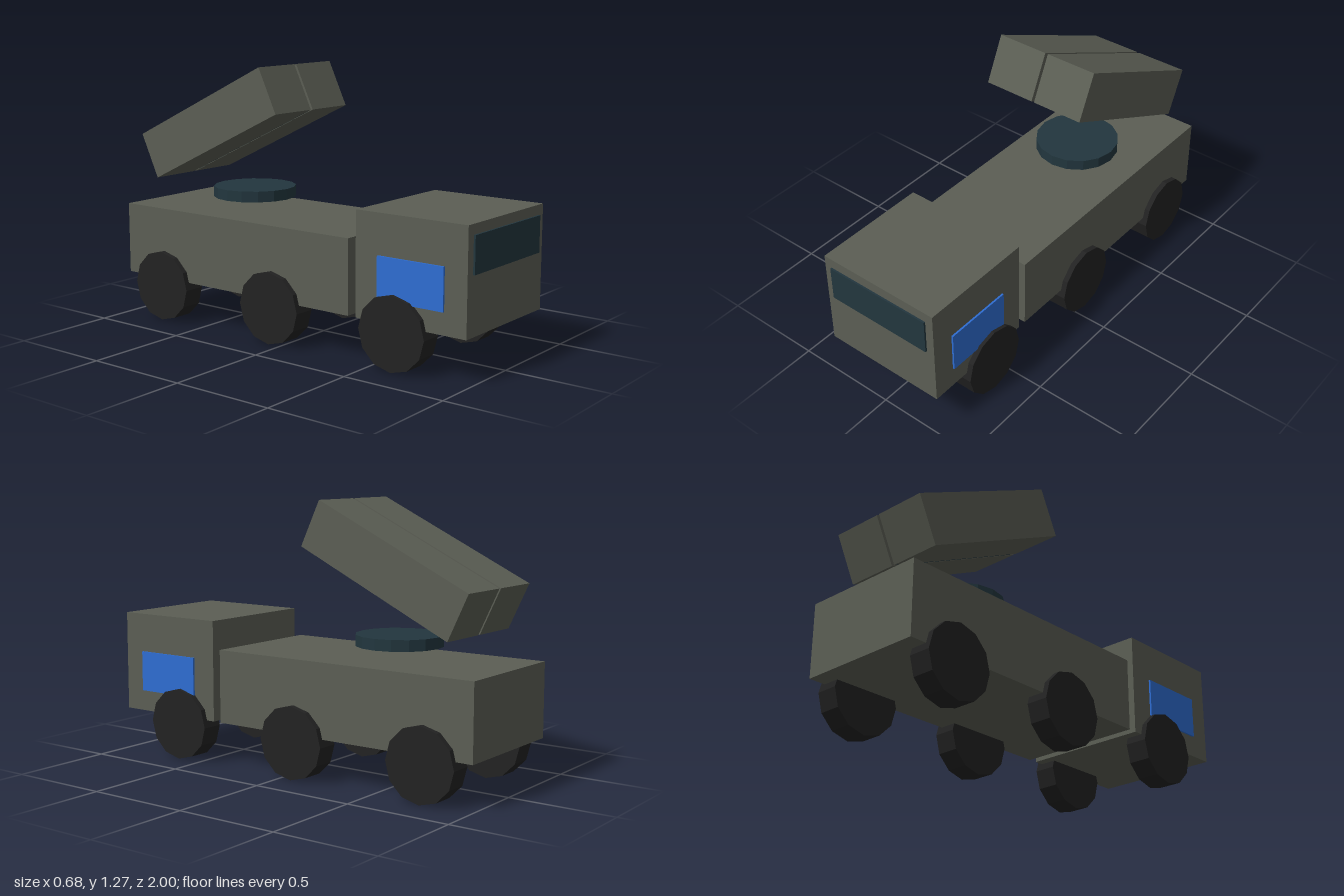
import * as THREE from 'three';

const mat = (name, color) => {
  const m = new THREE.MeshStandardMaterial({ color });
  m.name = name;
  m.flatShading = true;
  return m;
};

export function createModel() {
  const model = new THREE.Group();
  model.name = 'launcherTruck';
  const olive = mat('olive grey', 0x5b5e54);
  const glass = mat('dark teal', 0x22363e);
  const blue = mat('door blue', 0x2e6dd2);
  const rubber = mat('tyre black', 0x222222);

  const add = (parent, name, geometry, material, x, y, z) => {
    const mesh = new THREE.Mesh(geometry, material);
    mesh.name = name;
    mesh.position.set(x, y, z);
    parent.add(mesh);
    return mesh;
  };
  // Box given by its extents along each axis
  const box = (parent, name, material, [x0, x1], [y0, y1], [z0, z1]) =>
    add(parent, name, new THREE.BoxGeometry(x1 - x0, y1 - y0, z1 - z0), material,
      (x0 + x1) / 2, (y0 + y1) / 2, (z0 + z1) / 2);

  // Cab and cargo body
  box(model, 'cab', olive, [-0.312, 0.312], [0.206, 0.69], [0.42, 0.99]);
  box(model, 'rearBody', olive, [-0.312, 0.312], [0.206, 0.556], [-1, 0.378]);
  box(model, 'windshield', glass, [-0.272, 0.272], [0.475, 0.644], [0.991, 1]);

  // Side door panels and three axles of wheels
  const wheelGeo = new THREE.CylinderGeometry(0.172, 0.172, 0.108, 12).rotateZ(Math.PI / 2);
  for (const s of [1, -1]) {
    const side = s > 0 ? 'left' : 'right';
    const panel = s > 0 ? [0.313, 0.322] : [-0.322, -0.313];
    box(model, side + 'DoorPanel', blue, panel, [0.308, 0.503], [0.54, 0.88]);
    [0.627, -0.063, -0.755].forEach((z, i) =>
      add(model, `${side}Wheel${i + 1}`, wheelGeo, rubber, s * 0.285, 0.172, z));
  }

  // Turntable disc above the body
  add(model, 'turntable', new THREE.CylinderGeometry(0.202, 0.202, 0.052, 16), glass, 0, 0.641, -0.43);

  // Twin launch boxes, raised at the front, joined by a thin spine
  const launcher = new THREE.Group();
  launcher.name = 'launcher';
  launcher.position.set(0, 0.984, -0.506);
  launcher.rotation.x = -0.445;
  box(launcher, 'leftLaunchBox', olive, [0.007, 0.264], [-0.116, 0.116], [-0.425, 0.425]);
  box(launcher, 'rightLaunchBox', olive, [-0.264, -0.007], [-0.116, 0.116], [-0.425, 0.425]);
  box(launcher, 'launcherSpine', glass, [-0.008, 0.008], [-0.114, -0.06], [-0.395, 0.395]);
  model.add(launcher);

  return model;
}
